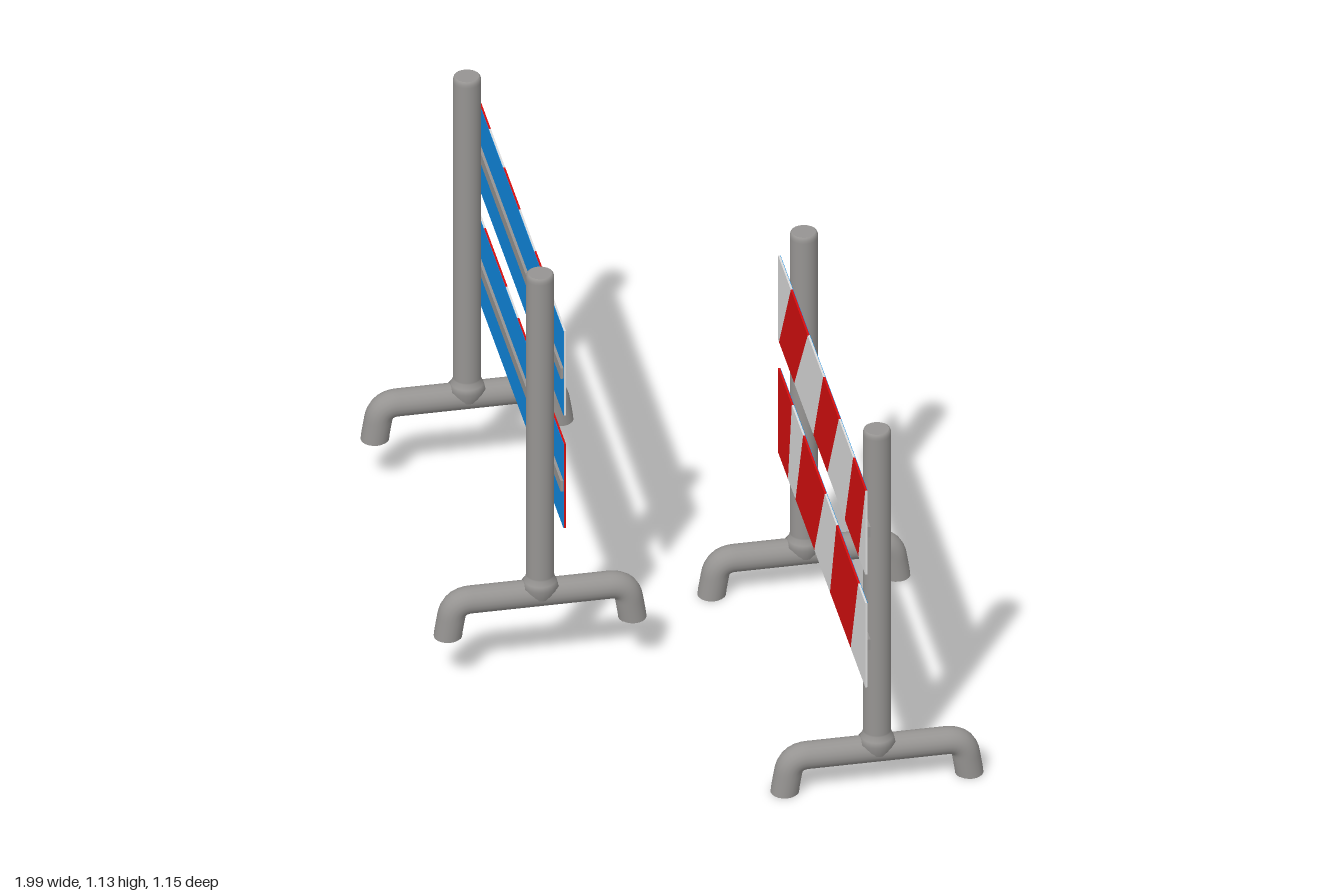
import * as THREE from 'three';

const steel = new THREE.MeshStandardMaterial({ name: 'steel grey', color: 0x969492 });
const white = new THREE.MeshStandardMaterial({ name: 'panel white', color: 0xdcdcdc });
const red = new THREE.MeshStandardMaterial({ name: 'stripe red', color: 0xd60e0e });
const blue = new THREE.MeshStandardMaterial({ name: 'backing blue', color: 0x1088e0 });

const R = 0.034;        // pipe radius
const HALF = 0.538;     // half length of a panel
const HEIGHT = 0.24;    // panel height

function add(parent, name, geometry, material, x = 0, y = 0, z = 0) {
  const mesh = new THREE.Mesh(geometry, material);
  mesh.name = name;
  mesh.position.set(x, y, z);
  parent.add(mesh);
  return mesh;
}

// Upright pipe with a weld flare at the base and a bevelled top
function makePost() {
  const profile = [[R, 0.09], [0.047, 0.122], [0.039, 0.132], [R, 0.146], [R, 0.15],
    [R, 0.99], [R, 0.997], [0.032, 1.003], [0.029, 1.005]].map(p => new THREE.Vector2(...p));
  return new THREE.LatheGeometry(profile, 24);
}

// Bar bent down at both ends
function makeFoot() {
  const p = (z, y) => new THREE.Vector3(0, y, z);
  const path = new THREE.CurvePath();
  path.add(new THREE.LineCurve3(p(-0.227, 0), p(-0.218, 0.055)));
  path.add(new THREE.QuadraticBezierCurve3(p(-0.218, 0.055), p(-0.212, 0.096), p(-0.17, 0.096)));
  path.add(new THREE.LineCurve3(p(-0.17, 0.096), p(0.17, 0.096)));
  path.add(new THREE.QuadraticBezierCurve3(p(0.17, 0.096), p(0.212, 0.096), p(0.218, 0.055)));
  path.add(new THREE.LineCurve3(p(0.218, 0.055), p(0.227, 0)));
  const tube = new THREE.TubeGeometry(path, 56, R, 20, false);
  // Keep the ends flat on the ground
  const pos = tube.attributes.position;
  for (let i = 0; i < pos.count; i++) {
    const end = Math.abs(pos.getZ(i)) > 0.18 && pos.getY(i) < 0.007;
    if (end) pos.setY(i, 0);
  }
  return tube;
}

// Slanted plate: fractions of the panel length at its top and bottom edges
function makeSlant([t0, t1, b0, b1]) {
  const x = f => (f * 2 - 1) * HALF;
  const h = HEIGHT / 2;
  const shape = new THREE.Shape([[b0, -h], [b1, -h], [t1, h], [t0, h]]
    .map(([f, y]) => new THREE.Vector2(x(f), y)));
  return new THREE.ExtrudeGeometry(shape, { depth: 0.005, bevelEnabled: false });
}

// Striped panel with a blue back and a steel rail behind it
function makePanel(stripes) {
  const panel = new THREE.Group();
  let top = 0, bottom = 0;
  for (const s of stripes) {
    if (s[0] > top || s[2] > bottom) {
      add(panel, 'whiteStripe', makeSlant([top, s[0], bottom, s[2]]), white, 0, 0, 0.041);
    }
    add(panel, 'redStripe', makeSlant(s), red, 0, 0, 0.041);
    top = s[1];
    bottom = s[3];
  }
  add(panel, 'whiteStripe', makeSlant([top, 1, bottom, 1]), white, 0, 0, 0.041);
  add(panel, 'blueBacking', new THREE.BoxGeometry(HALF * 2, HEIGHT, 0.001), blue, 0, 0, 0.0405);
  add(panel, 'rail', new THREE.BoxGeometry(HALF * 2, 0.03, 0.007), steel, 0, 0, 0.0365);
  return panel;
}

function makeBarrier() {
  const barrier = new THREE.Group();
  const post = makePost(), foot = makeFoot();
  const topCap = new THREE.CircleGeometry(0.029, 24).rotateX(-Math.PI / 2);
  const footCap = new THREE.CircleGeometry(R, 20).rotateX(Math.PI / 2);
  for (const x of [-0.451, 0.451]) {
    add(barrier, 'post', post, steel, x);
    add(barrier, 'postCap', topCap, steel, x, 1.005);
    add(barrier, 'foot', foot, steel, x);
    for (const z of [-0.227, 0.227]) add(barrier, 'footCap', footCap, steel, x, 0.0005, z);
  }
  const upper = makePanel([[0.146, 0.34, 0.01, 0.185], [0.517, 0.696, 0.405, 0.565], [0.86, 1, 0.765, 0.92]]);
  upper.name = 'upperPanel';
  upper.position.y = 0.768;
  const lower = makePanel([[0, 0.157, 0, 0.113], [0.287, 0.535, 0.2, 0.415], [0.668, 0.917, 0.595, 0.832]]);
  lower.name = 'lowerPanel';
  lower.position.y = 0.447;
  barrier.add(upper, lower);
  return barrier;
}

export function createModel() {
  const model = new THREE.Group();
  model.name = 'barriers';
  const angle = -Math.PI / 5;

  const left = makeBarrier();
  left.name = 'leftBarrier';
  left.position.set(0.465, 0, -0.094);
  left.rotation.y = angle;

  // Second barrier faces the other way and stands a little higher
  const right = makeBarrier();
  right.name = 'rightBarrier';
  right.position.set(-0.465, 0.13, 0.094);
  right.rotation.y = angle + Math.PI;

  model.add(left, right);
  return model;
}
